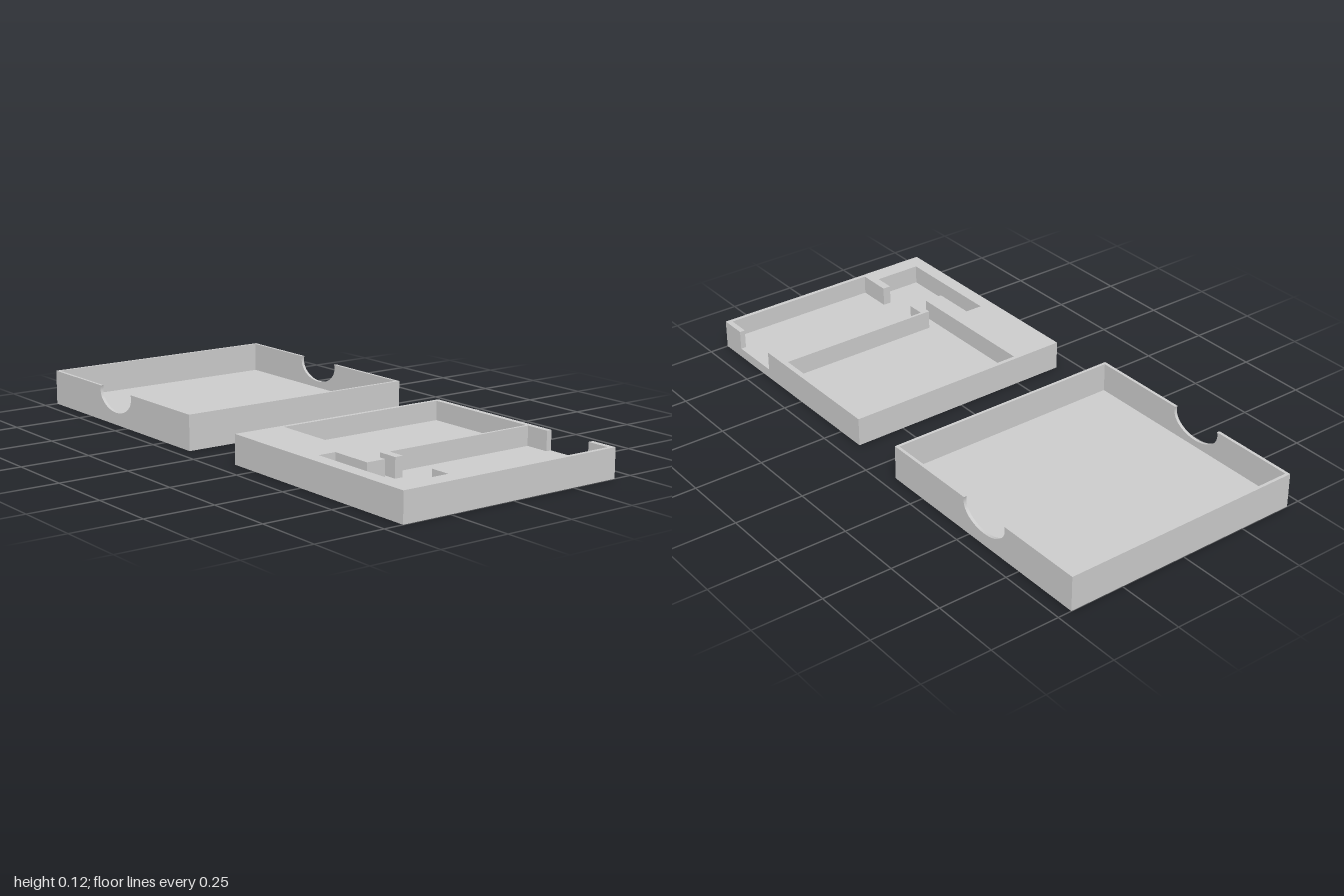
import * as THREE from 'three';

const material = new THREE.MeshStandardMaterial({ color: 0xcccccc });

function add(parent, name, geometry, x = 0, y = 0, z = 0) {
  const mesh = new THREE.Mesh(geometry, material);
  mesh.name = name;
  mesh.position.set(x, y, z);
  parent.add(mesh);
}

// Open lid: floor, two plain sides, two walls with a rounded finger notch
function createLid() {
  const lid = new THREE.Group();
  lid.name = 'lid';
  const size = 0.9, half = size / 2, height = 0.125, wall = 0.011, floor = 0.02;
  const inner = size - 2 * wall;

  add(lid, 'lidFloor', new THREE.BoxGeometry(inner, floor, inner), 0, floor / 2, 0);
  for (const side of [-1, 1]) {
    add(lid, side > 0 ? 'lidLeftWall' : 'lidRightWall',
      new THREE.BoxGeometry(wall, height, inner), side * (half - wall / 2), height / 2, 0);
  }

  const notchX = -0.025, notchY = 0.11, rx = 0.104, ry = 0.066;
  const start = Math.asin((height - notchY) / ry);
  const profile = new THREE.Shape();
  profile.moveTo(-half, 0);
  profile.lineTo(half, 0);
  profile.lineTo(half, height);
  profile.absellipse(notchX, notchY, rx, ry, start, Math.PI - start, true);
  profile.lineTo(-half, height);
  const notched = new THREE.ExtrudeGeometry(profile, { depth: wall, bevelEnabled: false, curveSegments: 32 });
  add(lid, 'lidFrontWall', notched, 0, 0, half - wall);
  add(lid, 'lidBackWall', notched, 0, 0, -half);

  lid.position.x = -0.55;
  return lid;
}

// Tray: solid base with one continuous pocket that opens through the back wall
function createTray() {
  const tray = new THREE.Group();
  tray.name = 'tray';
  const x0 = 0.14, x1 = 1, depth = 0.43, height = 0.103, floor = 0.034;

  add(tray, 'trayBase', new THREE.BoxGeometry(x1 - x0, floor, 2 * depth), (x0 + x1) / 2, floor / 2, 0);

  // Wall outline as (x, z)
  const outline = [
    [0.71, -depth], [x0, -depth], [x0, depth], [x1, depth], [x1, -depth], [0.9, -depth],
    // right compartment
    [0.9, -0.41], [0.985, -0.41], [0.985, 0.175], [0.86, 0.175], [0.86, 0.205],
    // front slot
    [0.935, 0.205], [0.935, 0.38], [0.525, 0.38], [0.525, 0.315], [0.685, 0.315],
    // left compartment
    [0.685, 0.245], [0.155, 0.245], [0.155, -0.41], [0.61, -0.41],
    // divider with its hooked end
    [0.61, 0.205], [0.685, 0.205], [0.685, 0.175], [0.62, 0.175], [0.62, -0.41], [0.71, -0.41],
  ];
  const shape = new THREE.Shape(outline.map(([x, z]) => new THREE.Vector2(x, -z)));
  const walls = new THREE.ExtrudeGeometry(shape, { depth: height - floor, bevelEnabled: false });
  walls.rotateX(-Math.PI / 2);
  add(tray, 'trayWallsAndDivider', walls, 0, floor, 0);
  return tray;
}

export function createModel() {
  const model = new THREE.Group();
  model.name = 'boxWithLid';
  model.add(createLid(), createTray());
  return model;
}
